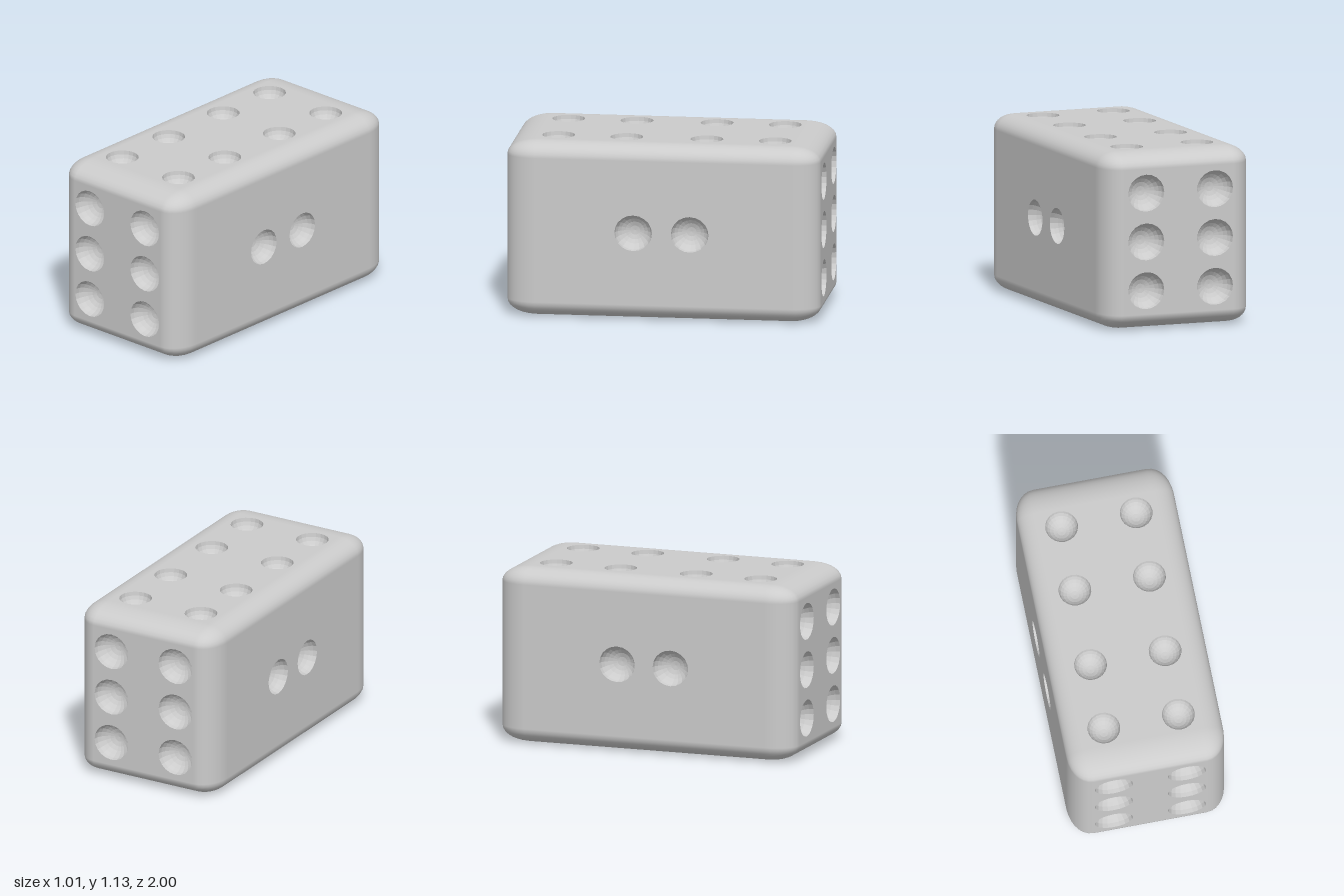
import * as THREE from 'three';
import { RoundedBoxGeometry } from 'three/addons/geometries/RoundedBoxGeometry.js';

const half = [0.505, 0.565, 1];      // half extents of the block
const round = [0.14, 0.1, 0.19];     // edge rounding along each axis
const flat = half.map((h, i) => h - round[i]);
const SIDES = 20;

const bodyMaterial = new THREE.MeshStandardMaterial({ color: 0xcccccc });
const dimpleMaterial = new THREE.MeshStandardMaterial({ color: 0xcccccc, flatShading: true, side: THREE.BackSide });

// Rounded edges and corners: a rounded box with its six flat faces left out
function roundedEdges() {
  const box = new RoundedBoxGeometry(...half.map((h, i) => 2 * h / round[i]), 4, 1);
  box.scale(...round);
  const pos = box.attributes.position, nor = box.attributes.normal;
  const positions = [], normals = [];
  for (let t = 0; t < pos.count; t += 3) {
    const corners = [t, t + 1, t + 2];
    const isFlat = half.some((h, axis) =>
      corners.every(v => Math.abs(pos.getComponent(v, axis)) > h - 1e-4));
    if (isFlat) continue;
    for (const v of corners) {
      positions.push(pos.getX(v), pos.getY(v), pos.getZ(v));
      normals.push(nor.getX(v), nor.getY(v), nor.getZ(v));
    }
  }
  const g = new THREE.BufferGeometry();
  g.setAttribute('position', new THREE.Float32BufferAttribute(positions, 3));
  g.setAttribute('normal', new THREE.Float32BufferAttribute(normals, 3));
  return g;
}

// Flat face with round openings, each closed by a sunken bowl
function pipFace(name, w, h, distance, pips, rx, ry, depth) {
  const face = new THREE.Group();
  face.name = name;
  const outline = new THREE.Shape([
    new THREE.Vector2(-w, -h), new THREE.Vector2(w, -h),
    new THREE.Vector2(w, h), new THREE.Vector2(-w, h)]);
  const bowl = new THREE.SphereGeometry(1, SIDES, 6, 0, Math.PI * 2, Math.PI / 2, Math.PI / 2);
  bowl.rotateX(Math.PI / 2).scale(rx, ry, depth);
  for (const [x, y] of pips) {
    outline.holes.push(new THREE.Path().absellipse(x, y, rx, ry, 0, Math.PI * 2, true));
    const dimple = new THREE.Mesh(bowl, dimpleMaterial);
    dimple.name = 'dimple';
    dimple.position.set(x, y, distance);
    face.add(dimple);
  }
  const panel = new THREE.Mesh(new THREE.ShapeGeometry(outline, SIDES / 2), bodyMaterial);
  panel.name = 'panel';
  panel.position.z = distance;
  face.add(panel);
  return face;
}

// All pairings of column and row positions
const grid = (xs, ys) => xs.flatMap(x => ys.map(y => [x, y]));

export function createModel() {
  const model = new THREE.Group();
  model.name = 'longDie';
  const block = new THREE.Group();
  block.name = 'block';
  block.position.y = half[1];
  model.add(block);

  const edges = new THREE.Mesh(roundedEdges(), bodyMaterial);
  edges.name = 'roundedEdges';
  block.add(edges);

  const six = grid([-0.235, 0.235], [-0.312, 0, 0.312]);
  const eight = grid([-0.24, 0.24], [-0.69, -0.255, 0.255, 0.69]);
  const two = grid([-0.18, 0.18], [0]);

  // Opposite faces carry the same pips
  for (const s of [1, -1]) {
    const end = pipFace(s > 0 ? 'frontFace' : 'backFace', flat[0], flat[1], half[2], six, 0.123, 0.118, 0.105);
    end.rotation.y = s > 0 ? 0 : Math.PI;
    const side = pipFace(s > 0 ? 'leftFace' : 'rightFace', flat[2], flat[1], half[0], two, 0.12, 0.115, 0.1);
    side.rotation.y = s * Math.PI / 2;
    const cap = pipFace(s > 0 ? 'topFace' : 'bottomFace', flat[0], flat[2], half[1], eight, 0.104, 0.104, 0.095);
    cap.rotation.x = -s * Math.PI / 2;
    block.add(end, side, cap);
  }
  return model;
}
